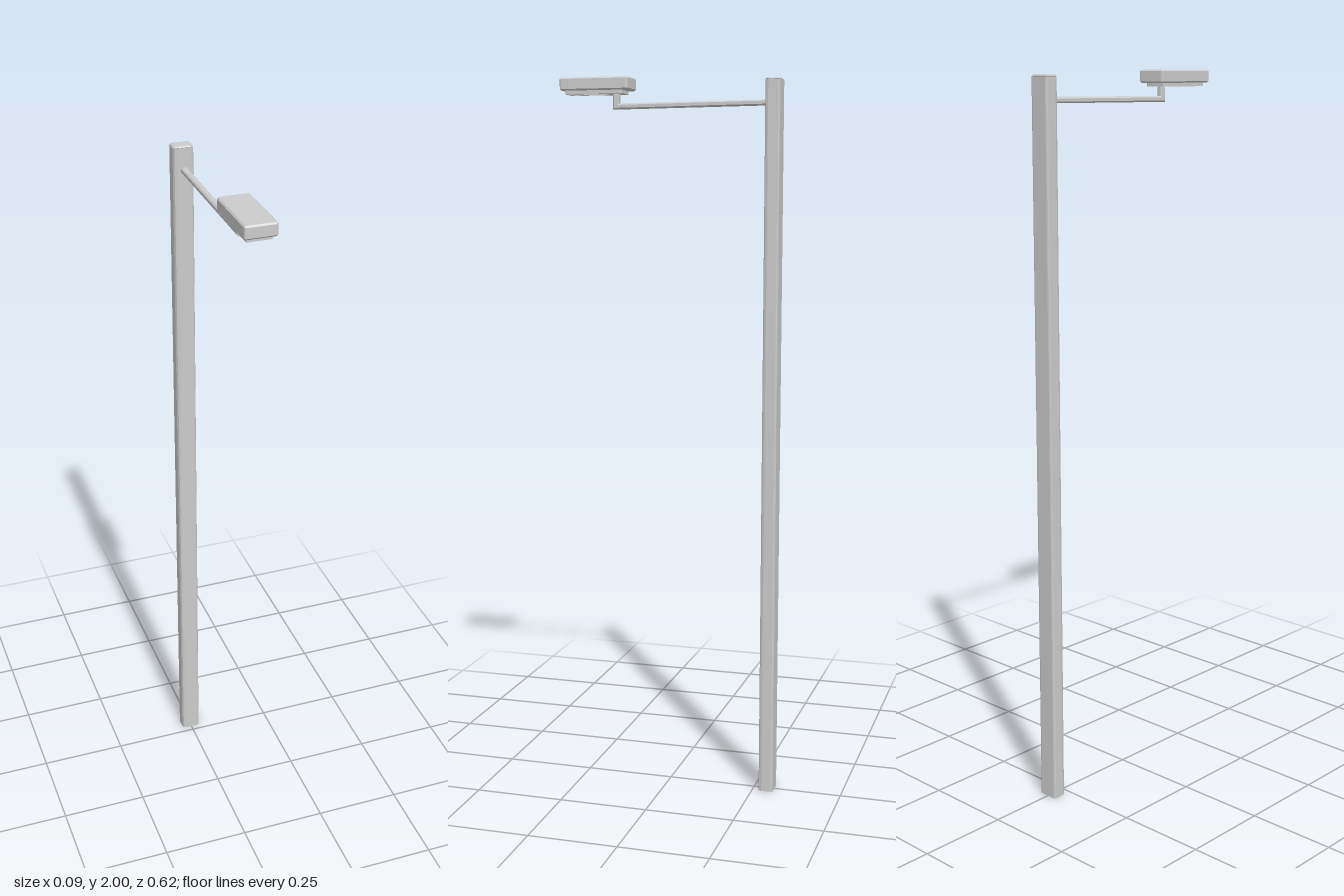
import * as THREE from 'three';

const material = new THREE.MeshStandardMaterial({ color: 0xcccccc, flatShading: true });

// Rectangle centred on the origin with cut corners; the front corners (-y) may differ from the back ones
function cutRect(w, d, back, front = back, Type = THREE.Shape) {
  const x = w / 2, y = d / 2;
  return new Type([
    [-x + front, -y], [x - front, -y], [x - front * 0.3, -y + front * 0.3], [x, -y + front],
    [x, y - back], [x - back * 0.3, y - back * 0.3], [x - back, y],
    [-x + back, y], [-x + back * 0.3, y - back * 0.3], [-x, y - back],
    [-x, -y + front], [-x + front * 0.3, -y + front * 0.3],
  ].map(([a, b]) => new THREE.Vector2(a, b)));
}

// Extrude a plan shape upward from y0 to y1, centred at depth z, with the bevel kept inside those limits
function rise(shape, y0, y1, z, bevel = 0) {
  const geo = new THREE.ExtrudeGeometry(shape, {
    depth: y1 - y0 - 2 * bevel, bevelEnabled: bevel > 0, bevelSize: bevel,
    bevelOffset: -bevel, bevelThickness: bevel, bevelSegments: 1,
  });
  return geo.rotateX(-Math.PI / 2).translate(0, y0 + bevel, z);
}

export function createModel() {
  const group = new THREE.Group();
  const add = (name, geo) => {
    const mesh = new THREE.Mesh(geo, material);
    mesh.name = name;
    group.add(mesh);
  };

  // Tall post, softer at the front corners, with a bevelled cap
  add('post', rise(cutRect(0.057, 0.042, 0.005, 0.01), 0, 1.985, -0.288));
  add('postCap', rise(cutRect(0.055, 0.04, 0.005, 0.01), 1.983, 1.99, -0.288, 0.003));

  // Bent arm: a horizontal bar with an upright end carrying the head
  const bend = new THREE.Shape([
    [-0.275, 1.918], [0.155, 1.914], [0.165, 1.914], [0.165, 1.958],
    [0.147, 1.958], [0.147, 1.93], [-0.275, 1.934],
  ].map(([z, y]) => new THREE.Vector2(z, y)));
  const arm = new THREE.ExtrudeGeometry(bend, {
    depth: 0.01, bevelSize: 0.004, bevelOffset: -0.004, bevelThickness: 0.004, bevelSegments: 1,
  });
  add('arm', arm.translate(0, 0, -0.005).rotateY(-Math.PI / 2));

  // Lamp housing
  add('lampHousing', rise(cutRect(0.086, 0.197, 0.006), 1.965, 2, 0.21, 0.004));

  // Lower frame with an opening around the light panel
  const frame = cutRect(0.068, 0.165, 0.005);
  const opening = cutRect(0.054, 0.108, 0.004, 0.004, THREE.Path);
  opening.curves.forEach((c) => { c.v1 = c.v1.clone(); c.v2 = c.v2.clone(); c.v1.y -= 0.02; c.v2.y -= 0.02; });
  frame.holes.push(opening);
  add('lampFrame', rise(frame, 1.955, 1.966, 0.213));
  add('lightPanel', rise(cutRect(0.056, 0.11, 0.004), 1.961, 1.967, 0.233));

  return group;
}
